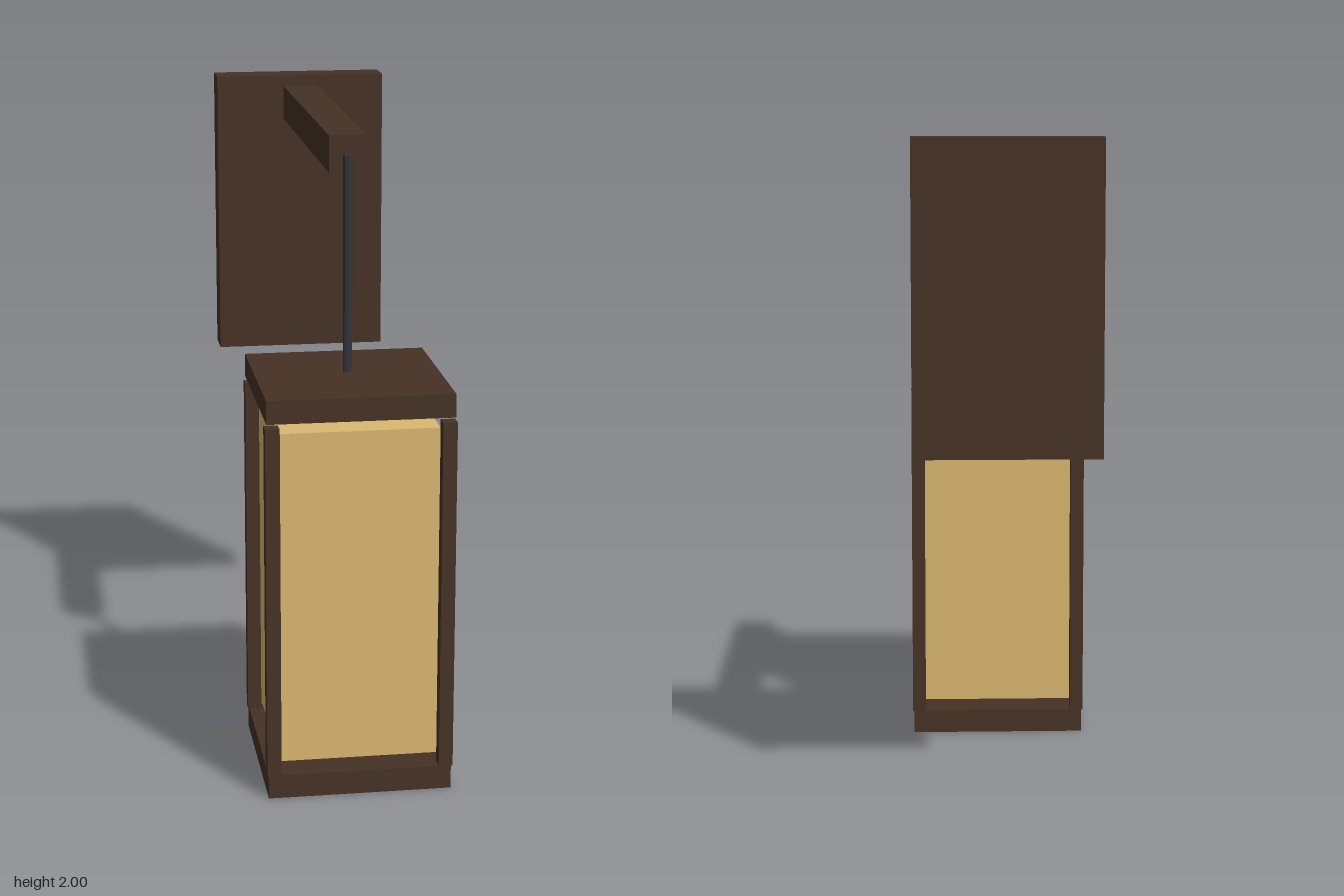
import * as THREE from 'three';

export function createModel() {
  const model = new THREE.Group();
  const wood = new THREE.MeshStandardMaterial({ color: 0x463225 });
  const glass = new THREE.MeshStandardMaterial({ color: 0xdbb870 });
  const metal = new THREE.MeshStandardMaterial({ color: 0x34343c, flatShading: true });

  // Box given by its centre in x and z, its bottom and top height, width and depth
  const addBox = (name, material, x, z, bottom, top, width, depth) => {
    const mesh = new THREE.Mesh(new THREE.BoxGeometry(width, top - bottom, depth), material);
    mesh.name = name;
    mesh.position.set(x, (bottom + top) / 2, z);
    model.add(mesh);
  };

  const lanternZ = 0.447;

  // Wall mount and arm
  addBox('wallPlate', wood, 0, -0.675, 1.07, 2, 0.558, 0.11);
  addBox('arm', wood, 0, -0.0875, 1.855, 1.965, 0.112, 1.065);

  // Hanging rod
  const rod = new THREE.Mesh(new THREE.CylinderGeometry(0.014, 0.014, 0.655, 8), metal);
  rod.name = 'hangingRod';
  rod.position.set(0, 1.58, lanternZ);
  model.add(rod);

  // Lantern base, lid and shade
  addBox('lanternBase', wood, 0, lanternZ, 0, 0.074, 0.558, 0.558);
  addBox('lanternLid', wood, 0, lanternZ, 1.174, 1.245, 0.558, 0.558);
  addBox('shade', glass, 0, lanternZ, 0.103, 1.134, 0.482, 0.482);

  // Four corner posts
  for (const sx of [-1, 1]) {
    for (const sz of [-1, 1]) {
      addBox('cornerPost', wood, sx * 0.262, lanternZ + sz * 0.262, 0.074, 1.16, 0.043, 0.043);
    }
  }
  return model;
}
